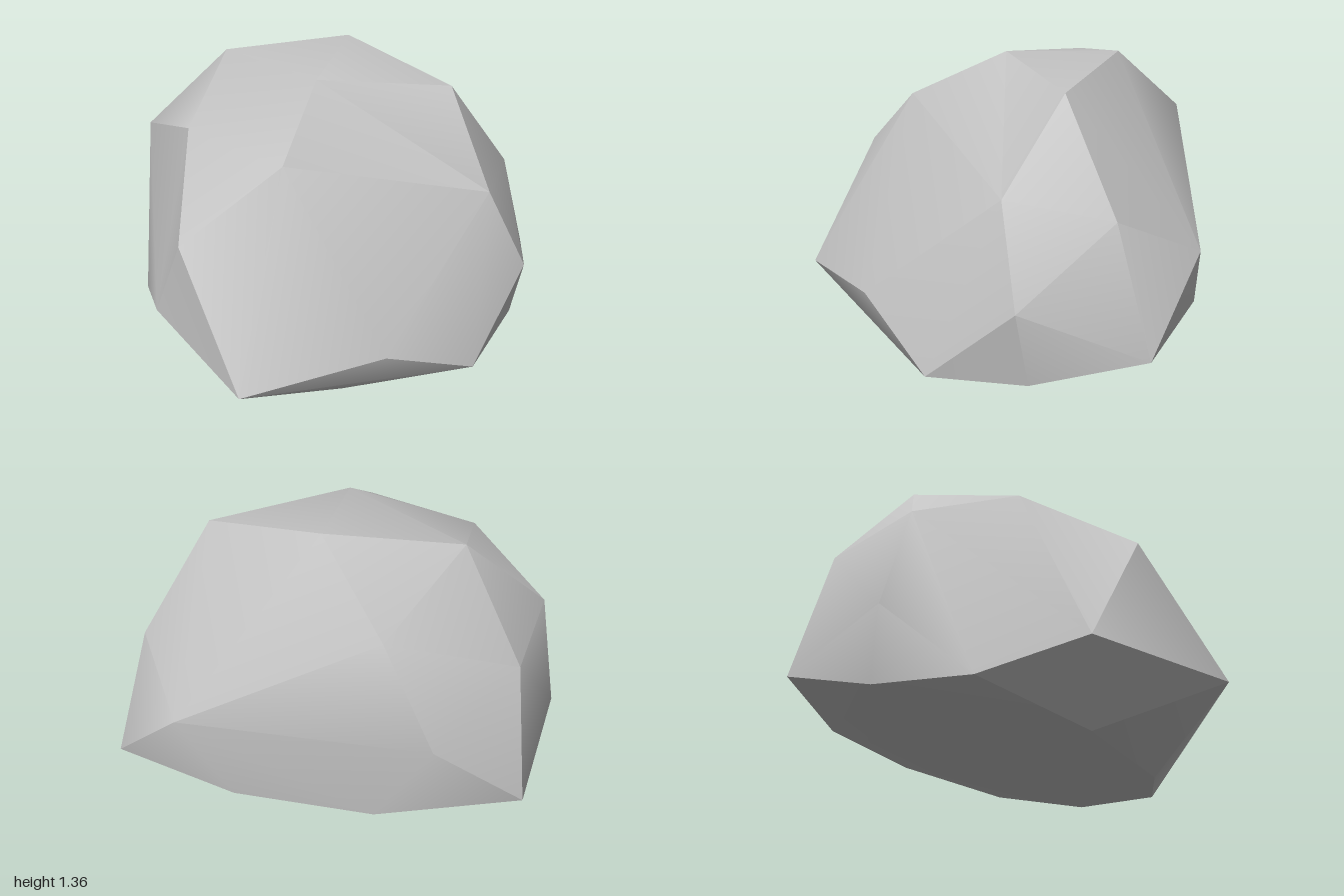
import * as THREE from 'three';
import { toCreasedNormals } from 'three/addons/utils/BufferGeometryUtils.js';
import { ConvexGeometry } from 'three/addons/geometries/ConvexGeometry.js';

const point = (x, y, z) => new THREE.Vector3(x, y, z);

// Named corners, where the surface is slightly dented
const crownFront = point(-0.01, 1.14, 0.41);
const crownLeft = point(0.55, 1.265, -0.355);
const brow = point(-0.39, 0.825, 0.7);
const shoulder = point(-0.92, 0.94, -0.12);

// Remaining corners of the boulder, grouped by height
const crown = [
  point(-0.02, 1.36, -0.56), point(-0.59, 1.285, -0.36), point(-0.01, 1.35, -0.04),
  point(-0.55, 1.13, 0.2), point(-0.35, 1.05, -0.85), crownFront, crownLeft,
];
const flanks = [
  brow, shoulder, point(0.81, 0.87, -0.12), point(0.8, 0.79, -0.59),
  point(-0.87, 0.855, -0.57), point(0.53, 0.59, -0.945), point(-0.58, 0.62, -0.93),
  point(1.0, 0.45, -0.2), point(-1.0, 0.48, -0.2),
  point(-0.03, 0.26, 0.94), point(0.52, 0.32, 0.54), point(-0.6, 0.335, 0.57),
];
const base = [
  point(0.29, 0, 0.45), point(-0.37, 0.015, 0.45), point(0.86, 0.09, 0.2),
  point(-0.86, 0.14, 0.18), point(0.95, 0.12, -0.25), point(-0.94, 0.155, -0.26),
  point(0.91, 0.235, -0.745), point(-0.94, 0.28, -0.71),
  point(-0.34, 0.265, -0.94), point(0.28, 0.26, -0.945),
];

// Turns the ridge a-b into a shallow valley across its two triangles
function dent(geometry, a, b) {
  const pos = geometry.getAttribute('position');
  const pair = [];
  for (let i = 0; i < pos.count; i += 3) {
    const tri = [0, 1, 2].map((k) => new THREE.Vector3().fromBufferAttribute(pos, i + k));
    const has = (p) => tri.some((q) => q.distanceTo(p) < 1e-4);
    if (has(a) && has(b)) {
      const apex = tri.find((q) => q.distanceTo(a) > 1e-4 && q.distanceTo(b) > 1e-4);
      pair.push({ i, tri, apex });
    }
  }
  if (pair.length !== 2) return;
  // Each triangle trades one end of the ridge for the other's apex
  [[pair[0], b, pair[1].apex], [pair[1], a, pair[0].apex]].forEach(([face, end, apex]) => {
    const k = face.tri.findIndex((q) => q.distanceTo(end) < 1e-4);
    pos.setXYZ(face.i + k, apex.x, apex.y, apex.z);
  });
}

export function createModel() {
  const group = new THREE.Group();
  group.name = 'rock';

  const stone = new THREE.MeshStandardMaterial({ color: 0xc2c2c2 });
  stone.name = 'pale grey stone';

  // Faceted hull with two dents, sharp only at the steep edges
  const hull = new ConvexGeometry([...crown, ...flanks, ...base]);
  dent(hull, shoulder, brow);
  dent(hull, crownFront, crownLeft);
  const boulder = new THREE.Mesh(toCreasedNormals(hull, THREE.MathUtils.degToRad(32)), stone);
  boulder.name = 'boulder';
  group.add(boulder);

  return group;
}
